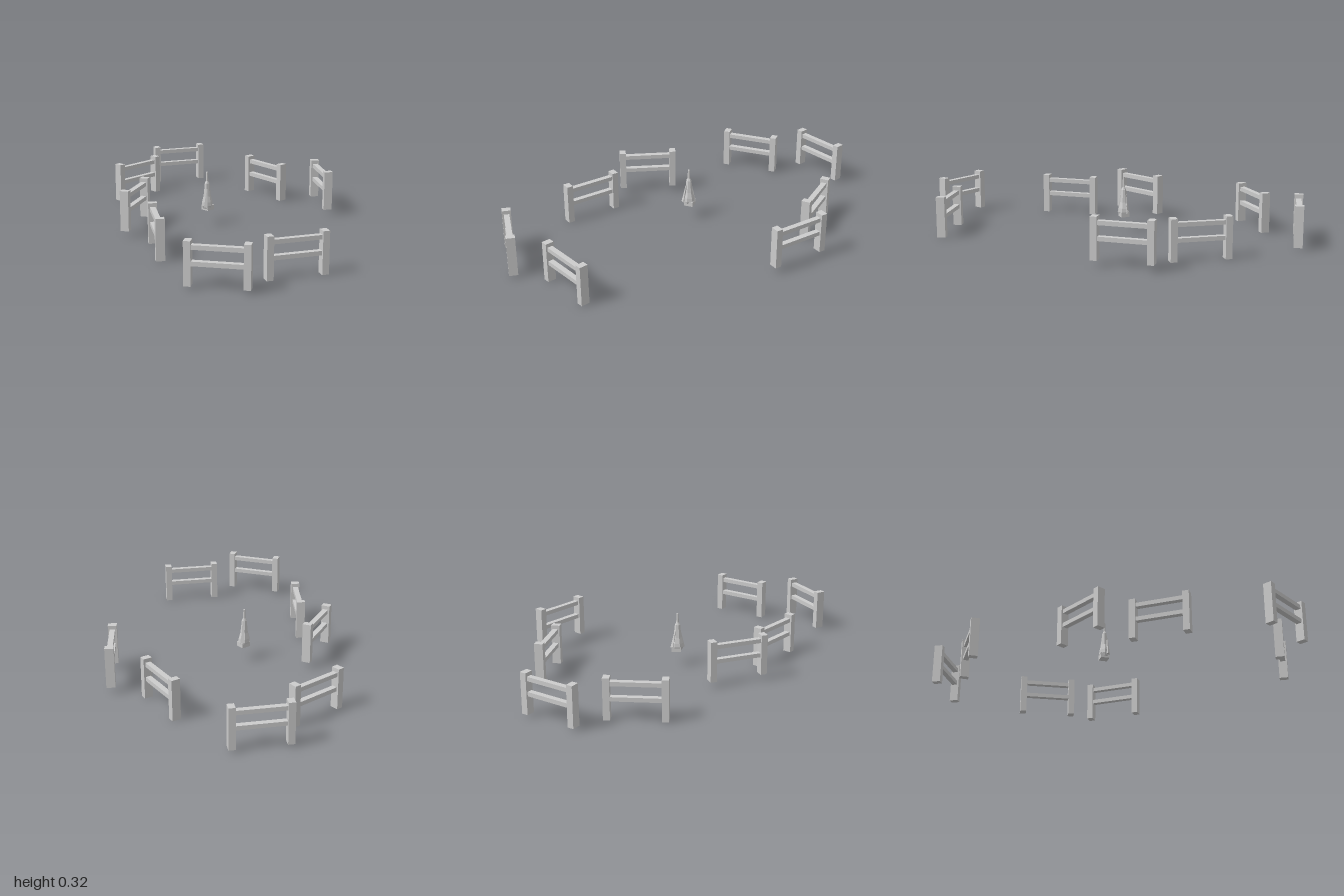
import * as THREE from 'three';

const grey = new THREE.MeshStandardMaterial({ color: 0xcccccc, flatShading: true, side: THREE.DoubleSide });

function addMesh(parent, name, geometry, x, y, z) {
  const mesh = new THREE.Mesh(geometry, grey);
  mesh.name = name;
  mesh.position.set(x, y, z);
  parent.add(mesh);
  return mesh;
}

// One fence section between two post centres, lifted by y
function makeFence([x1, z1, x2, z2, y]) {
  const fence = new THREE.Group();
  fence.name = 'fence';
  const dx = x2 - x1, dz = z2 - z1, length = Math.hypot(dx, dz);
  for (const s of [-1, 1])
    addMesh(fence, 'post', new THREE.BoxGeometry(0.037, 0.235, 0.05), s * length / 2, 0.1195, 0);
  for (const h of [0.118, 0.203])
    addMesh(fence, 'rail', new THREE.BoxGeometry(length, 0.024, 0.031), 0, h, 0);
  fence.position.set((x1 + x2) / 2, y, (z1 + z2) / 2);
  fence.rotation.y = -Math.atan2(dz, dx);
  return fence;
}

// Small faceted centrepiece: chunky foot, tapering body and thin spike
function makeCentrepiece() {
  const group = new THREE.Group();
  group.name = 'centrepiece';
  const profile = [[0, 0.10], [0.028, 0.10], [0.036, 0.118], [0.034, 0.14], [0.024, 0.175],
    [0.02, 0.21], [0.016, 0.25], [0.008, 0.265], [0.006, 0.318], [0, 0.322]];
  const body = addMesh(group, 'body',
    new THREE.LatheGeometry(profile.map(p => new THREE.Vector2(...p)), 7), 0, 0, 0);
  body.scale.z = 0.85;
  addMesh(group, 'foot', new THREE.BoxGeometry(0.054, 0.03, 0.05), 0.006, 0.105, 0);
  // Angular shards leaning against the body
  for (const [x, z, lean] of [[-0.018, 0.012, -0.12], [0.018, -0.01, 0.12]])
    addMesh(group, 'shard', new THREE.CylinderGeometry(0.004, 0.016, 0.11, 4), x, 0.165, z).rotation.z = lean;
  group.position.set(0.004, 0, -0.066);
  return group;
}

export function createModel() {
  const model = new THREE.Group();
  model.name = 'fencedPaddock';
  // Post centres (x1, z1, x2, z2) and lift of every section
  const sections = [
    [0.003, -0.83, 0.309, -0.83, 0],
    [0.46, -0.968, 0.725, -0.823, 0.014],
    [0.746, -0.386, 0.709, -0.085, 0],
    [0.832, 0.084, 0.648, 0.33, 0.034],
    [-0.212, -0.37, -0.487, -0.238, 0.034],
    [-0.466, -0.038, -0.646, 0.208, 0],
    [-0.838, 0.605, -0.677, 0.86, 0.014],
    [-0.476, 0.82, -0.212, 0.967, 0],
  ];
  for (const s of sections) model.add(makeFence(s));
  model.add(makeCentrepiece());
  return model;
}
